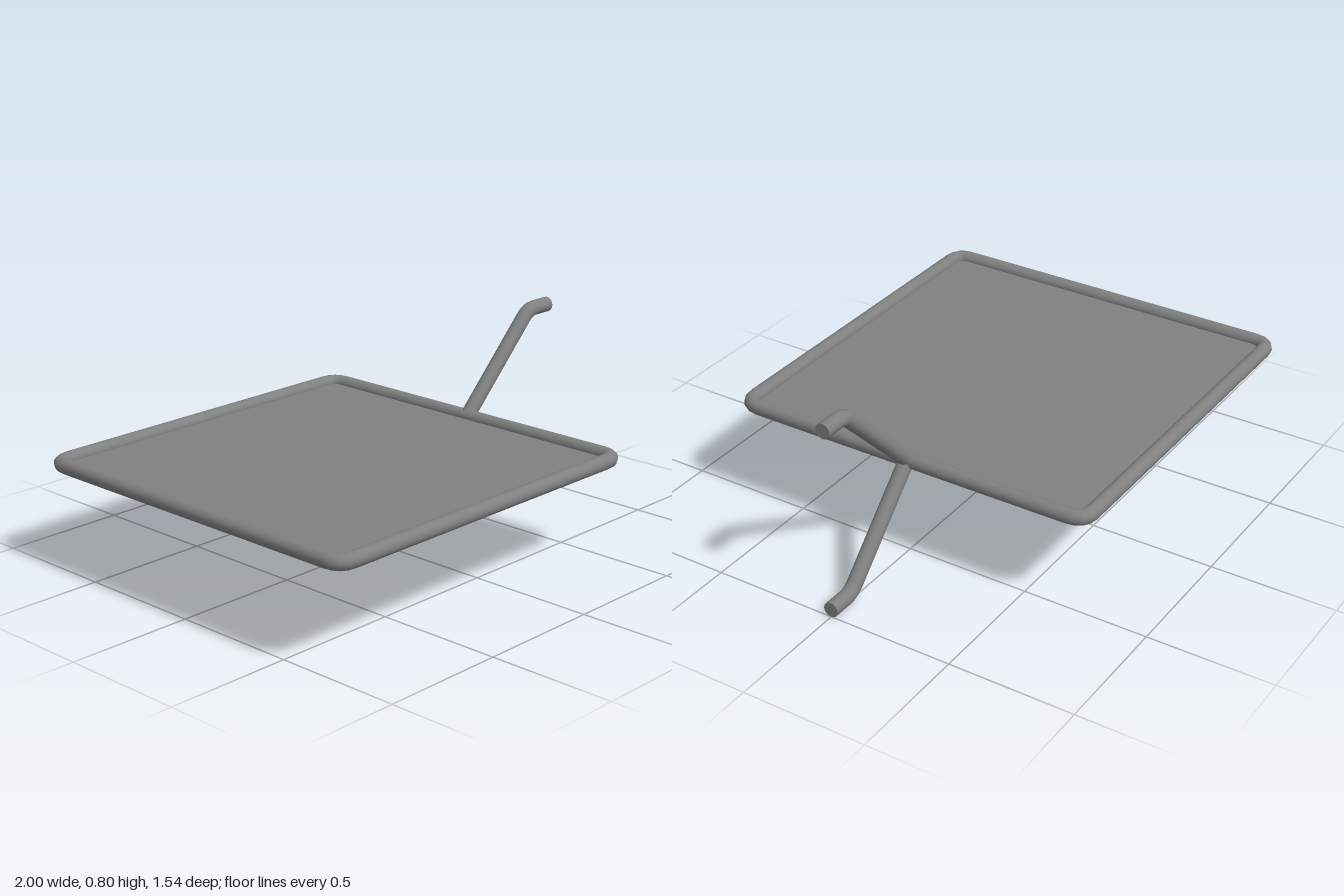
import * as THREE from 'three';

const R = 0.03, SIDES = 16, MID = 0.405;

// Replace a corner of a path by a short arc of points
function bend(before, corner, after, cut, steps) {
  const a = corner.clone().add(before.clone().sub(corner).setLength(cut));
  const b = corner.clone().add(after.clone().sub(corner).setLength(cut));
  const curve = new THREE.QuadraticBezierCurve3(a, corner, b);
  return curve.getPoints(steps);
}

// Sweep a round section along a path lying in the plane with the given normal
function sweep(path, planeNormal, closed) {
  const n = path.length, pos = [], nor = [], idx = [];
  const rings = closed ? n + 1 : n;
  for (let i = 0; i < rings; i++) {
    const p = path[i % n];
    const prev = closed ? path[(i - 1 + n) % n] : path[Math.max(i - 1, 0)];
    const next = closed ? path[(i + 1) % n] : path[Math.min(i + 1, n - 1)];
    const d1 = p.clone().sub(prev).normalize();
    const d2 = next.clone().sub(p).normalize();
    const t = d1.clone().add(d2).normalize();
    const side = new THREE.Vector3().crossVectors(planeNormal, t);
    const miter = 1 / Math.max(t.dot(d1), t.dot(d2));
    for (let j = 0; j <= SIDES; j++) {
      const a = (j / SIDES) * Math.PI * 2;
      const s = Math.cos(a), u = Math.sin(a);
      const v = p.clone().addScaledVector(side, s * R * miter).addScaledVector(planeNormal, u * R);
      const m = side.clone().multiplyScalar(s).addScaledVector(planeNormal, u);
      pos.push(v.x, v.y, v.z);
      nor.push(m.x, m.y, m.z);
      if (i < rings - 1 && j < SIDES) {
        const k = i * (SIDES + 1) + j, q = k + SIDES + 1;
        idx.push(k, q, k + 1, q, q + 1, k + 1);
      }
    }
  }
  const g = new THREE.BufferGeometry();
  g.setAttribute('position', new THREE.Float32BufferAttribute(pos, 3));
  g.setAttribute('normal', new THREE.Float32BufferAttribute(nor, 3));
  g.setIndex(idx);
  return g;
}

export function createModel() {
  const model = new THREE.Group();
  const metal = new THREE.MeshStandardMaterial({ color: 0x808080 });
  metal.name = 'grey metal';
  metal.side = THREE.DoubleSide;

  const add = (parent, name, geometry) => {
    const mesh = new THREE.Mesh(geometry, metal);
    mesh.name = name;
    parent.add(mesh);
    return mesh;
  };

  // Square tube frame with rounded corners
  const x0 = -0.97, x1 = 0.51, z = 0.74;
  const corners = [[x0, -z], [x0, z], [x1, z], [x1, -z]].map(([x, w]) => new THREE.Vector3(x, MID, w));
  const loop = corners.flatMap((c, i) => bend(corners[(i + 3) % 4], c, corners[(i + 1) % 4], 0.065, 4));
  add(model, 'frame', sweep(loop, new THREE.Vector3(0, 1, 0), true));

  // Flat sheet filling the frame
  const sheet = add(model, 'panel', new THREE.PlaneGeometry(x1 - x0 - 0.02, 2 * z - 0.02));
  sheet.rotation.x = -Math.PI / 2;
  sheet.position.set((x0 + x1) / 2, MID, 0);

  // Two forked arms, each bending level at its tip
  for (const s of [1, -1]) {
    const arm = new THREE.Group();
    arm.name = s > 0 ? 'upperArm' : 'lowerArm';
    const start = new THREE.Vector3(x1, MID, 0);
    const knee = new THREE.Vector3(0.88, MID + s * 0.372, 0);
    const tip = new THREE.Vector3(1, knee.y, 0);
    const path = [start, ...bend(start, knee, tip, 0.035, 3), tip];
    add(arm, 'armTube', sweep(path, new THREE.Vector3(0, 0, 1), false));
    const cap = add(arm, 'armEndCap', new THREE.CircleGeometry(R, SIDES));
    cap.position.copy(tip);
    cap.rotation.y = Math.PI / 2;
    const root = add(arm, 'armRootCap', new THREE.CircleGeometry(R, SIDES));
    root.position.copy(start);
    root.lookAt(start.clone().multiplyScalar(2).sub(knee));
    model.add(arm);
  }
  return model;
}
